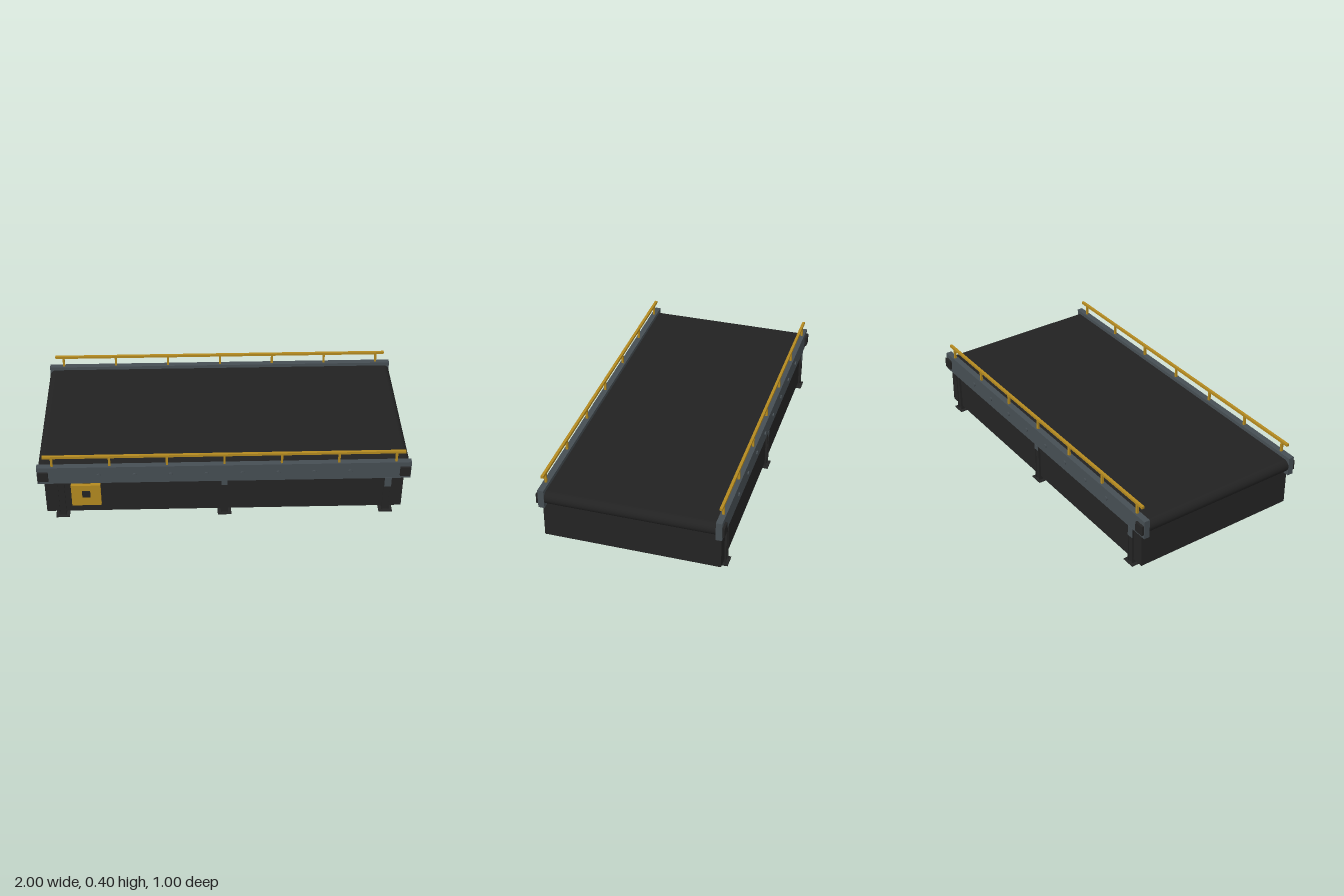
import * as THREE from 'three';

export function createModel() {
  const model = new THREE.Group();
  model.name = 'conveyorTable';
  const mat = (name, color) => {
    const m = new THREE.MeshStandardMaterial({ color });
    m.name = name;
    return m;
  };
  const charcoal = mat('charcoal', 0x242424);
  const beltBlack = mat('beltBlack', 0x222222);
  const steel = mat('steelGrey', 0x464e53);
  const yellow = mat('safetyYellow', 0xb48a20);

  const add = (parent, name, geometry, material, x = 0, y = 0, z = 0) => {
    const mesh = new THREE.Mesh(geometry, material);
    mesh.name = name;
    mesh.position.set(x, y, z);
    parent.add(mesh);
    return mesh;
  };
  // Box given by its minimum and maximum on each axis
  const box = (parent, name, material, x0, x1, y0, y1, z0, z1) =>
    add(parent, name, new THREE.BoxGeometry(x1 - x0, y1 - y0, z1 - z0), material,
      (x0 + x1) / 2, (y0 + y1) / 2, (z0 + z1) / 2);

  // Belt: a flat top that wraps round the roller at each end
  const endX = 0.965, axisY = 0.279, outer = 0.035, inner = 0.027, halfWidth = 0.456;
  const profile = new THREE.Shape();
  profile.moveTo(endX, axisY - outer);
  profile.absarc(endX, axisY, outer, -Math.PI / 2, Math.PI / 2, false);
  profile.absarc(-endX, axisY, outer, Math.PI / 2, Math.PI * 1.5, false);
  profile.absarc(-endX, axisY, inner, Math.PI * 1.5, Math.PI / 2, true);
  profile.absarc(endX, axisY, inner, Math.PI / 2, -Math.PI / 2, true);
  const beltGeometry = new THREE.ExtrudeGeometry(profile, {
    depth: halfWidth * 2, bevelEnabled: false, curveSegments: 16,
  });
  add(model, 'belt', beltGeometry, beltBlack, 0, 0, -halfWidth);

  // End rollers and end panels
  const rollerGeometry = new THREE.CylinderGeometry(0.0275, 0.0275, halfWidth * 2, 24);
  rollerGeometry.rotateX(Math.PI / 2);
  for (const s of [-1, 1]) {
    add(model, 'endRoller', rollerGeometry, charcoal, s * endX, axisY, 0);
    const panel = box(model, 'endPanel', charcoal, 0.955, 0.965, 0.028, 0.245, -0.475, 0.475);
    panel.position.x *= s;
  }

  // One long side, facing +z
  const boltGeometry = new THREE.CylinderGeometry(0.011, 0.011, 0.008, 12);
  boltGeometry.rotateX(Math.PI / 2);
  const makeSide = (name) => {
    const side = new THREE.Group();
    side.name = name;
    box(side, 'sideRail', steel, -1, 1, 0.228, 0.334, 0.455, 0.488);
    box(side, 'sidePanel', charcoal, -0.965, 0.965, 0.028, 0.23, 0.468, 0.477);

    // Legs with foot plates
    for (const x of [-0.88, 0, 0.88]) {
      box(side, 'legWeb', charcoal, x - 0.02, x + 0.02, 0.006, 0.228, 0.45, 0.483);
      for (const s of [-1, 1]) {
        const e = x + s * 0.017;
        box(side, 'legFlange', charcoal, e - 0.003, e + 0.003, 0.006, 0.228, 0.45, 0.488);
      }
      box(side, 'footPlate', charcoal, x - 0.037, x + 0.037, 0, 0.006, 0.437, 0.499);
    }
    // Rail brackets
    box(side, 'centreBracket', steel, -0.016, 0.016, 0.2, 0.23, 0.478, 0.4895);
    box(side, 'endBracket', steel, 0.863, 0.9, 0.17, 0.23, 0.478, 0.4895);

    // Bearing blocks and bolts
    for (const s of [-1, 1]) {
      const block = box(side, 'bearingBlock', charcoal, 0.94, 0.996, 0.25, 0.306, 0.486, 0.5);
      block.position.x *= s;
      for (const x of [0.096, 0.287, 0.48, 0.672]) {
        add(side, 'railBolt', boltGeometry, steel, s * x, 0.281, 0.491);
      }
    }
    // Guard rail on posts
    box(side, 'guardRail', yellow, -0.965, 0.965, 0.388, 0.402, 0.464, 0.479);
    for (let i = -3; i <= 3; i++) {
      const x = i * 0.306;
      box(side, 'guardPost', yellow, x - 0.006, x + 0.006, 0.333, 0.389, 0.466, 0.478);
    }
    model.add(side);
    return side;
  };
  const front = makeSide('frontSide');
  makeSide('backSide').rotation.y = Math.PI;

  // Control box with a dark screen
  box(front, 'controlBox', yellow, -0.824, -0.666, 0.082, 0.218, 0.476, 0.498);
  box(front, 'controlScreen', charcoal, -0.766, -0.722, 0.138, 0.181, 0.496, 0.5);

  return model;
}
